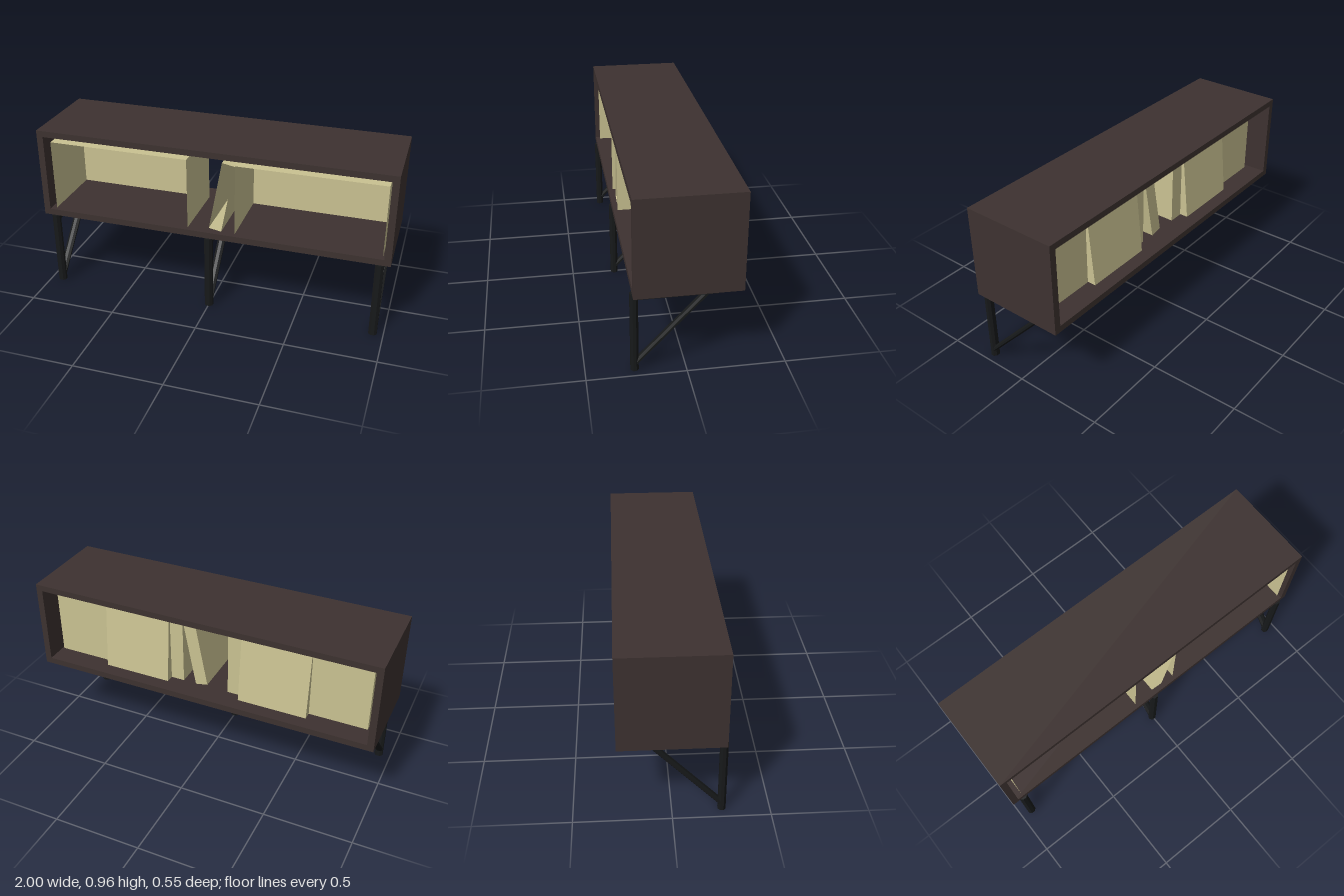
import * as THREE from 'three';

const wood = new THREE.MeshStandardMaterial({ color: 0x3d3230, flatShading: true });
const metal = new THREE.MeshStandardMaterial({ color: 0x17191a, flatShading: true });
const card = new THREE.MeshStandardMaterial({ color: 0xcac292, flatShading: true, side: THREE.DoubleSide });

// box given by its extents on each axis
function box(name, material, [x0, x1], [y0, y1], [z0, z1]) {
  const mesh = new THREE.Mesh(new THREE.BoxGeometry(x1 - x0, y1 - y0, z1 - z0), material);
  mesh.position.set((x0 + x1) / 2, (y0 + y1) / 2, (z0 + z1) / 2);
  mesh.name = name;
  return mesh;
}

// thin-walled sleeve: a box with its +z face left out
function sleeve(name, xs, ys, zs, openBottom) {
  const mesh = box(name, card, xs, ys, zs);
  const g = mesh.geometry;
  const index = Array.from(g.index.array);
  const skip = openBottom ? [3, 4] : [4];
  g.setIndex(index.filter((_, i) => !skip.includes(Math.floor(i / 6))));
  return mesh;
}

// eight-sided bar between two points in the plane of a leg
function bar(name, a, b, width, depth) {
  const from = new THREE.Vector3(0, ...a), to = new THREE.Vector3(0, ...b);
  const dir = to.clone().sub(from);
  const g = new THREE.CylinderGeometry(0.5, 0.5, dir.length(), 8);
  g.rotateY(Math.PI / 8);
  const k = 1 / Math.cos(Math.PI / 8);
  g.scale(width * k, 1, depth * k);
  const mesh = new THREE.Mesh(g, metal);
  mesh.position.copy(from).add(to).multiplyScalar(0.5);
  mesh.quaternion.setFromUnitVectors(new THREE.Vector3(0, 1, 0), dir.normalize());
  mesh.name = name;
  return mesh;
}

export function createModel() {
  const model = new THREE.Group();

  // case, open at front and back
  const cabinet = new THREE.Group();
  cabinet.name = 'cabinet';
  const depth = [-0.272, 0.264];
  cabinet.add(
    box('topPanel', wood, [-1, 1], [0.925, 0.96], depth),
    box('bottomPanel', wood, [-1, 1], [0.44, 0.476], depth),
    box('rightPanel', wood, [-1, -0.963], [0.476, 0.925], depth),
    box('leftPanel', wood, [0.963, 1], [0.476, 0.925], depth)
  );
  model.add(cabinet);

  // two rows of sleeves, each with a tilted bunch pushed out at the back
  const rows = [
    ['rightRow', [-0.932, -0.127], [-0.605, -0.21]],
    ['leftRow', [0.145, 0.953], [0.222, 0.618]],
  ];
  for (const [name, xs, bunch] of rows) {
    model.add(sleeve(name, xs, [0.477, 0.888], [-0.15, 0.24], true));
    const pushed = sleeve(name + 'Bunch', bunch, [0.48, 0.886], [-0.2, -0.151], true);
    const p = pushed.geometry.attributes.position;
    for (let i = 0; i < p.count; i++) {
      if (p.getY(i) > 0 && p.getZ(i) < 0) p.setZ(i, p.getZ(i) + 0.04);
    }
    pushed.geometry.computeVertexNormals();
    model.add(pushed);
  }

  // single leaning sleeve
  const leaning = sleeve('leaningSleeve', [0.034, 0.106], [0.482, 0.892], [-0.155, 0.235], false);
  leaning.position.set(0.069, 0.687, 0.04);
  leaning.rotation.z = -0.185;
  model.add(leaning);

  // three bracket legs: post, top rail and diagonal brace
  for (const [name, x] of [['rightLeg', -0.932], ['middleLeg', 0], ['leftLeg', 0.942]]) {
    const leg = new THREE.Group();
    leg.name = name;
    leg.position.x = x;
    leg.add(
      bar('post', [0, 0.255], [0.44, 0.255], 0.046, 0.04),
      box('rail', metal, [-0.023, 0.023], [0.414, 0.44], [-0.15, 0.255]),
      bar('brace', [0.045, 0.246], [0.425, -0.109], 0.044, 0.026)
    );
    model.add(leg);
  }
  return model;
}
